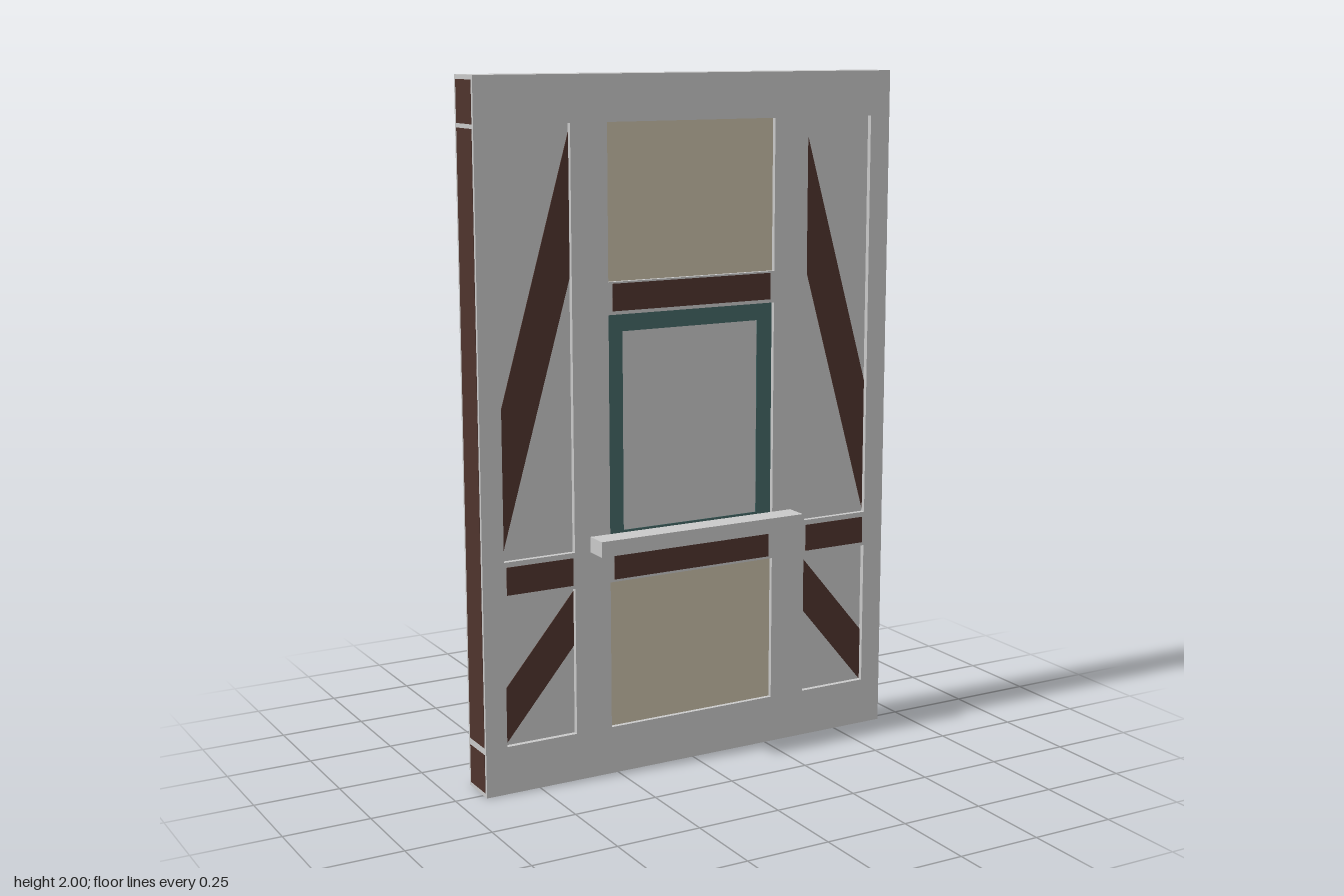
import * as THREE from 'three';

export function createModel() {
  const model = new THREE.Group();
  const mat = (name, color) => Object.assign(new THREE.MeshStandardMaterial({ color }), { name });
  const plaster = mat('plaster grey', 0xc9c9c9);
  const timber = mat('dark timber', 0x4f342d);
  const cream = mat('cream panel', 0xc8bfa8);
  const teal = mat('teal window frame', 0x446866);

  const FRONT = 0.025, BACK = -0.095, MID = (FRONT + BACK) / 2;
  const DEPTH = FRONT - BACK, CORE = DEPTH - 0.03;

  const add = (name, geometry, material) => {
    const mesh = new THREE.Mesh(geometry, material);
    mesh.name = name;
    model.add(mesh);
    return mesh;
  };
  const box = (name, x0, x1, y0, y1, depth, material, z = MID) =>
    add(name, new THREE.BoxGeometry(x1 - x0, y1 - y0, depth), material)
      .position.set((x0 + x1) / 2, (y0 + y1) / 2, z);
  const rect = (x0, x1, y0, y1) =>
    [[x0, y0], [x1, y0], [x1, y1], [x0, y1]].map(([x, y]) => new THREE.Vector2(x, y));
  // Slab cut from an outline, centred on the wall's mid plane
  const slab = (name, outline, holes, depth, material) => {
    const shape = new THREE.Shape(outline);
    holes.forEach(h => shape.holes.push(new THREE.Path(h)));
    const geometry = new THREE.ExtrudeGeometry(shape, { depth, bevelEnabled: false });
    add(name, geometry.translate(0, 0, MID - depth / 2), material);
  };

  // Wall frame with seven recessed bays, open to front and back
  const bays = [
    rect(-0.27, 0.27, 0.14, 0.573), rect(-0.27, 0.27, 0.668, 1.34), rect(-0.27, 0.27, 1.432, 1.87),
  ];
  for (const s of [-1, 1]) {
    const [a, b] = s < 0 ? [-0.6, -0.382] : [0.382, 0.6];
    bays.push(rect(a, b, 0.14, 0.57), rect(a, b, 0.675, 1.87));
  }
  slab('wallFrame', rect(-0.665, 0.665, 0, 2), bays, DEPTH, plaster);

  // Infill behind the bays
  box('wallInfill', -0.62, 0.62, 0.12, 1.89, CORE, plaster);

  // Cream panels above and below the window
  box('lowerPanel', -0.27, 0.27, 0.14, 0.573, CORE + 0.004, cream);
  box('upperPanel', -0.27, 0.27, 1.432, 1.87, CORE + 0.004, cream);

  // Window frame and sill
  slab('windowFrame', rect(-0.27, 0.27, 0.668, 1.34), [rect(-0.22, 0.22, 0.718, 1.29)], CORE + 0.004, teal);
  box('windowSill', -0.333, 0.333, 0.67, 0.715, 0.07, plaster, FRONT + 0.035);

  // Timber rails set in the frame
  for (const [y0, y1] of [[0.58, 0.66], [1.35, 1.427]])
    box('centreRail', -0.257, 0.257, y0, y1, DEPTH + 0.002, timber);

  for (const s of [-1, 1]) {
    const mirror = points => points.map(([x, y]) => new THREE.Vector2(s * x, y));
    const side = s < 0 ? 'right' : 'left';
    // Diagonal braces
    slab(side + 'UpperBrace', mirror([[0.382, 1.845], [0.382, 1.45], [0.6, 0.685], [0.6, 1.08]]), [], CORE + 0.004, timber);
    slab(side + 'LowerBrace', mirror([[0.382, 0.56], [0.382, 0.4], [0.6, 0.14], [0.6, 0.3]]), [], CORE + 0.004, timber);
    // Short side rail
    const [a, b] = s < 0 ? [-0.593, -0.388] : [0.388, 0.593];
    box(side + 'Rail', a, b, 0.58, 0.66, DEPTH + 0.002, timber);
    // Timber plates on the end of the wall
    for (const [y0, y1] of [[0.012, 0.125], [0.145, 1.86], [1.872, 1.988]])
      box(side + 'EndPost', s * 0.664 - 0.002, s * 0.664 + 0.002, y0, y1, 0.1, timber);
  }
  return model;
}
